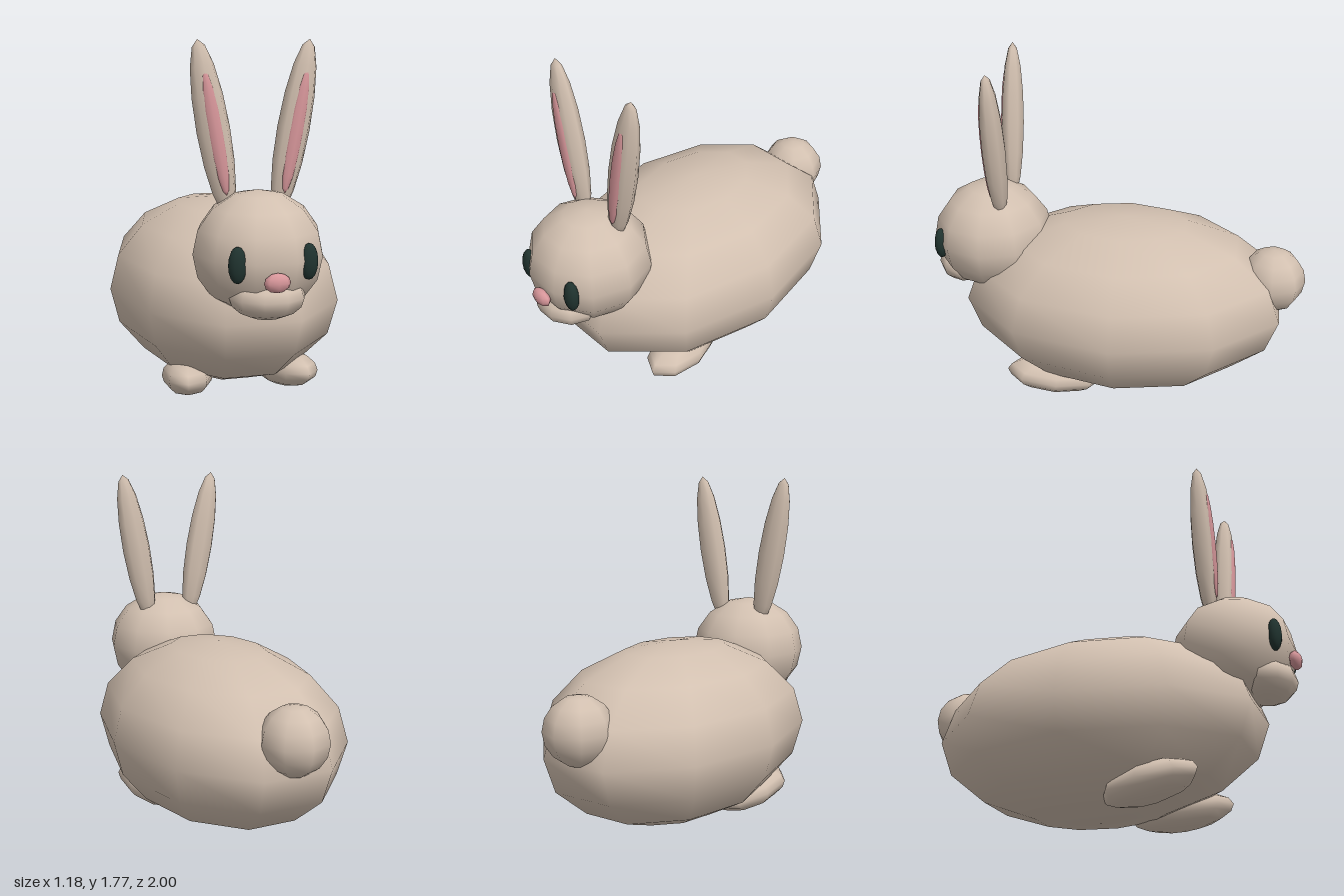
import * as THREE from 'three';

export function createModel() {
  const model = new THREE.Group();
  model.name = 'rabbit';

  const material = (name, color) => {
    const m = new THREE.MeshStandardMaterial({ color });
    m.name = name;
    return m;
  };
  const fur = material('fur', 0xd2c0b0);
  const pink = material('pink', 0xd8979b);
  const dark = material('darkGreen', 0x20332f);

  // Smooth low-poly ellipsoid with its poles on y
  function ellipsoid(name, mat, position, radii, rotation = [0, 0, 0], sides = 10, rings = 8) {
    const mesh = new THREE.Mesh(new THREE.SphereGeometry(1, sides, rings), mat);
    mesh.name = name;
    mesh.position.set(...position);
    mesh.scale.set(...radii);
    mesh.rotation.set(...rotation);
    model.add(mesh);
    return mesh;
  }

  // Body, head and tail
  ellipsoid('body', fur, [0, 0.48, -0.05], [0.59, 0.47, 0.87]);
  ellipsoid('head', fur, [0, 0.8, 0.665], [0.312, 0.29, 0.312]);
  ellipsoid('tail', fur, [0, 0.64, -0.828], [0.172, 0.172, 0.172], [0, 0, 0], 8);

  // Muzzle and nose
  ellipsoid('muzzle', fur, [0, 0.625, 0.82], [0.18, 0.105, 0.15]);
  ellipsoid('nose', pink, [0, 0.72, 0.968], [0.062, 0.045, 0.032], [0, 0, 0], 8, 6);

  // Paired parts: the model's left is +x
  for (const [side, s] of [['left', 1], ['right', -1]]) {
    ellipsoid(side + 'Eye', dark, [s * 0.165, 0.795, 0.908], [0.043, 0.084, 0.034], [0, 0, 0], 12);
    ellipsoid(side + 'Ear', fur, [s * 0.193, 1.36, 0.585], [0.08, 0.417, 0.06], [0, 0, -s * 0.18], 8);
    ellipsoid(side + 'InnerEar', pink, [s * 0.191, 1.345, 0.625], [0.038, 0.29, 0.023], [0, 0, -s * 0.18], 8);
    ellipsoid(side + 'Foot', fur, [s * 0.255, 0.1, 0.29], [0.13, 0.093, 0.26], [-0.13, s * 0.2, 0], 8);
  }

  return model;
}
